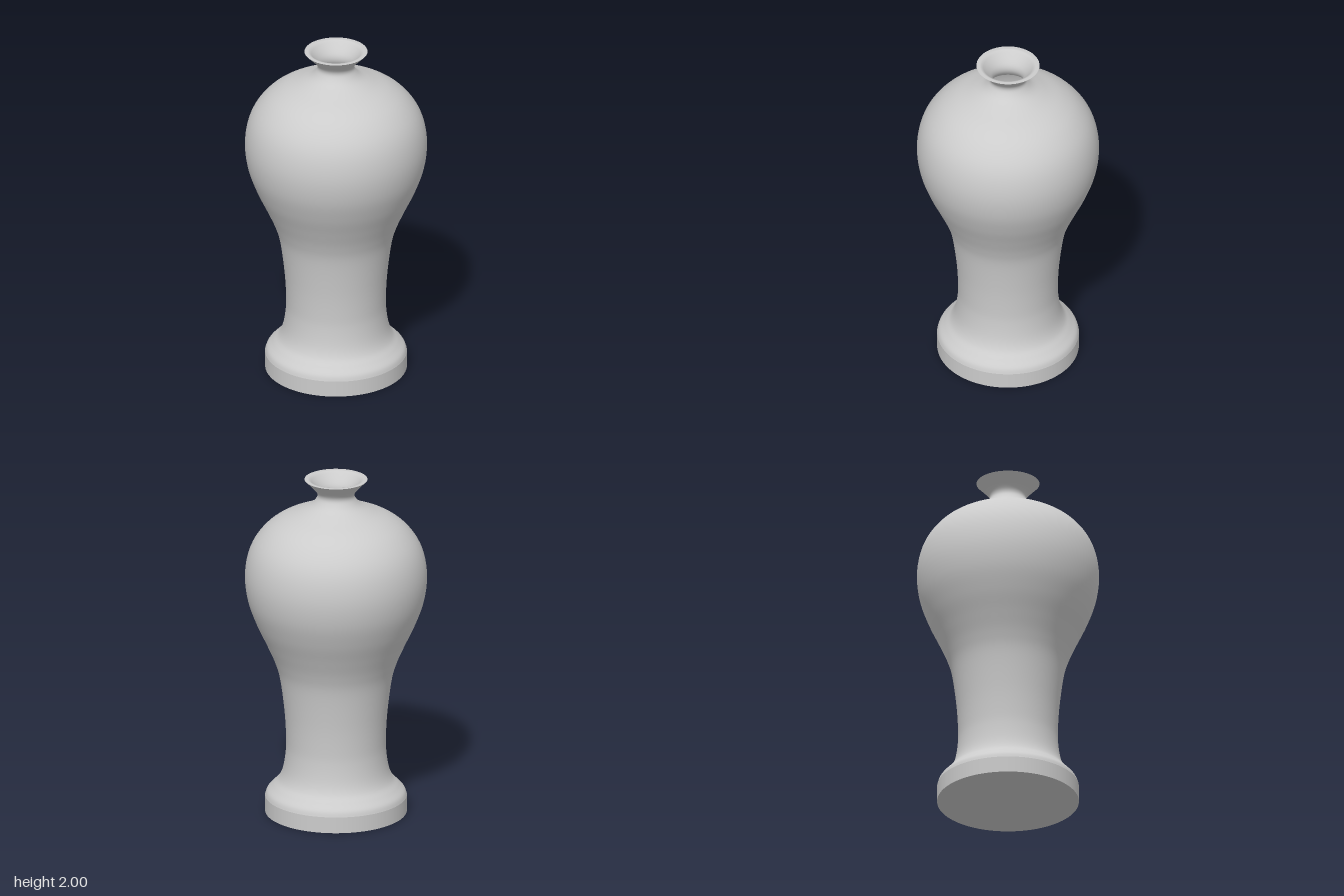
import * as THREE from 'three';

const SEGMENTS = 96;
const WALL = 0.02;
const v = (x, y) => new THREE.Vector2(x, y);

// Spins a profile (listed from bottom to top) around the y axis
function lathe(name, points, material) {
  const mesh = new THREE.Mesh(new THREE.LatheGeometry(points, SEGMENTS), material);
  mesh.name = name;
  return mesh;
}

export function createModel() {
  const group = new THREE.Group();
  group.name = 'vase';
  const material = new THREE.MeshStandardMaterial({ color: 0xcccccc, side: THREE.DoubleSide });

  // Outer silhouette: rounded foot, waist, shoulder, neck and flared lip
  const outer = new THREE.SplineCurve([
    v(0.405, 0.095), v(0.393, 0.125), v(0.36, 0.16), v(0.325, 0.2), v(0.302, 0.26),
    v(0.288, 0.35), v(0.285, 0.44), v(0.294, 0.6), v(0.32, 0.8), v(0.352, 0.91),
    v(0.4, 1.02), v(0.456, 1.14), v(0.502, 1.27), v(0.52, 1.4), v(0.508, 1.52),
    v(0.47, 1.62), v(0.403, 1.705), v(0.32, 1.765), v(0.22, 1.81), v(0.15, 1.845),
    v(0.115, 1.88), v(0.106, 1.91), v(0.125, 1.943), v(0.18, 2),
  ]).getPoints(140);

  // Inner wall: the silhouette moved inward along its normals
  const inner = outer.map((p, i) => {
    const a = outer[Math.max(i - 1, 0)];
    const b = outer[Math.min(i + 1, outer.length - 1)];
    const t = b.clone().sub(a).normalize();
    return v(p.x - t.y * WALL, Math.min(p.y + t.x * WALL, 2));
  });
  inner[inner.length - 1].set(0.162, 2);

  group.add(lathe('body', outer, material));
  group.add(lathe('innerWall', inner.reverse(), material));

  // Flat ring joining the outer and inner walls at the mouth
  group.add(lathe('rim', [v(0.18, 2), v(0.162, 2)], material));

  // Straight band of the foot, and its underside
  group.add(lathe('footBand', [v(0.405, 0), v(0.405, 0.095)], material));
  group.add(lathe('underside', [v(0, 0), v(0.405, 0)], material));

  // Inside of the foot and the floor of the vase
  const bottom = inner[inner.length - 1];
  group.add(lathe('innerFloor', [bottom.clone(), v(bottom.x, WALL), v(0, WALL)], material));

  return group;
}
